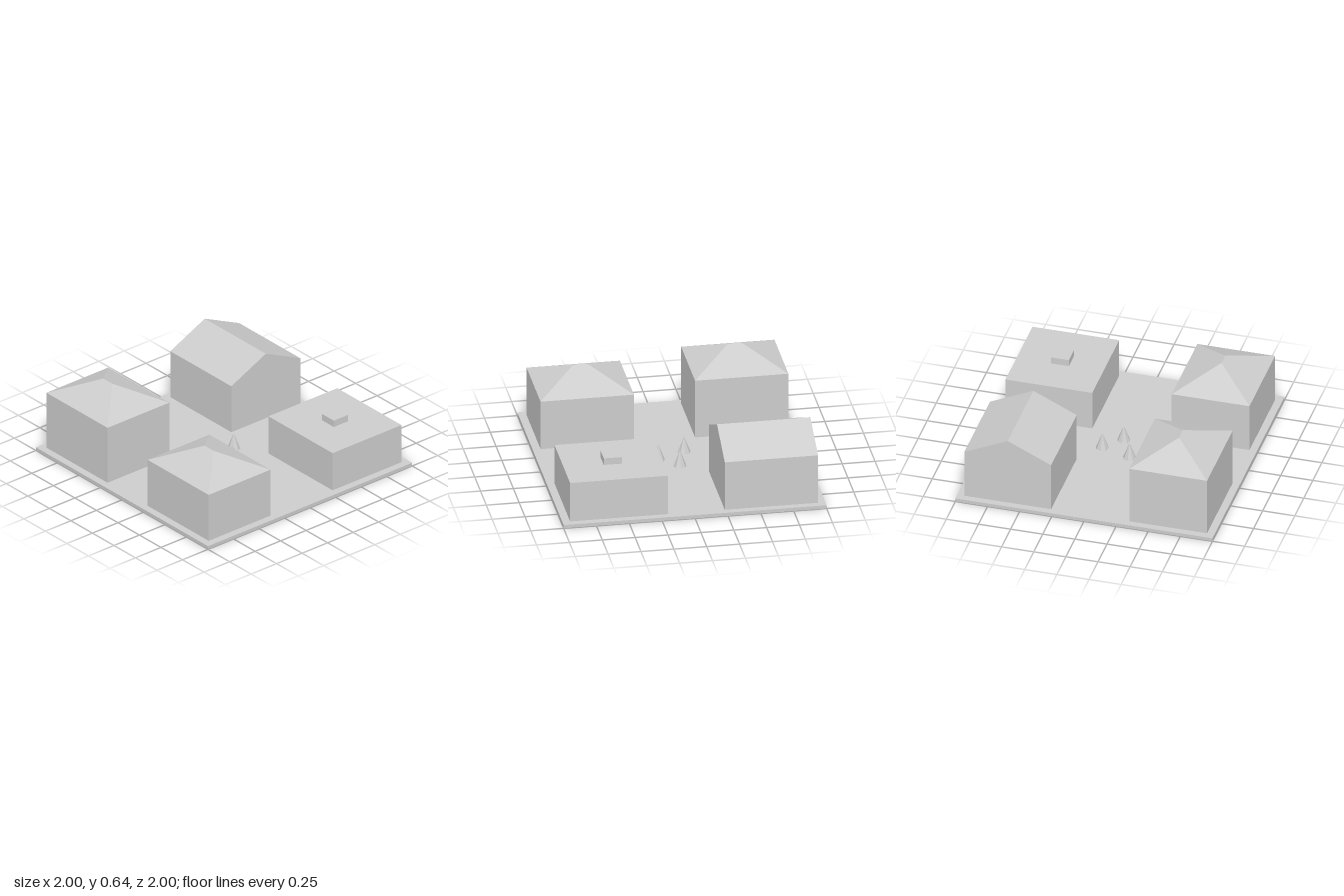
import * as THREE from 'three';

const GROUND = 0.027;

export function createModel() {
  const model = new THREE.Group();
  const grey = new THREE.MeshStandardMaterial({ color: 0xcccccc });
  grey.name = 'plain grey';
  grey.flatShading = true;

  const add = (name, geometry, parent = model) => {
    const mesh = new THREE.Mesh(geometry, grey);
    mesh.name = name;
    parent.add(mesh);
    return mesh;
  };
  const building = (name, x, z) => {
    const group = new THREE.Group();
    group.name = name;
    group.position.set(x, GROUND, z);
    model.add(group);
    return group;
  };
  // Box standing on the given height
  const block = (name, w, h, d, y, parent) =>
    (add(name, new THREE.BoxGeometry(w, h, d), parent).position.y = y + h / 2);

  // Ground slab
  block('groundSlab', 2, GROUND, 2, 0);

  // Two houses with hipped roofs: a box whose top is drawn in to a short ridge
  const hipHouse = (name, x, eave) => {
    const house = building(name, x, 0.64);
    const w = 0.71, d = 0.605, wall = eave - GROUND, rise = 0.142;
    block('walls', w, wall, d, 0, house);
    const roof = new THREE.BoxGeometry(w, rise, d);
    const p = roof.attributes.position;
    for (let i = 0; i < p.count; i++) {
      if (p.getY(i) > 0) {
        p.setX(i, Math.sign(p.getX(i)) * 0.0525);
        p.setZ(i, 0);
      }
    }
    roof.computeVertexNormals();
    add('hipRoof', roof, house).position.y = wall + rise / 2;
  };
  hipHouse('tallHipHouse', -0.59, 0.497);
  hipHouse('lowHipHouse', 0.585, 0.42);

  // Gabled house: five-sided end profile run along x
  const gable = building('gableHouse', -0.59, -0.608);
  const half = 0.3375, eave = 0.42 - GROUND, ridge = 0.578 - GROUND;
  const profile = new THREE.Shape([
    [-half, 0], [half, 0], [half, eave], [0, ridge], [-half, eave],
  ].map(([x, y]) => new THREE.Vector2(x, y)));
  const body = new THREE.ExtrudeGeometry(profile, { depth: 0.71, bevelEnabled: false });
  body.translate(0, 0, -0.355).rotateY(Math.PI / 2);
  add('gableWallsAndRoof', body, gable);

  // Flat-roofed building with a rooftop unit
  const flat = building('flatRoofBuilding', 0.568, -0.608);
  block('walls', 0.746, 0.345 - GROUND, 0.675, 0, flat);
  block('rooftopUnit', 0.14, 0.054, 0.14, 0.345 - GROUND, flat);

  // Three small cone trees in the square
  for (const [x, z] of [[-0.037, -0.127], [0.104, 0], [-0.11, 0.105]]) {
    const tree = add('coneTree', new THREE.ConeGeometry(0.05, 0.13, 8));
    tree.position.set(x, GROUND + 0.065, z);
  }
  return model;
}
